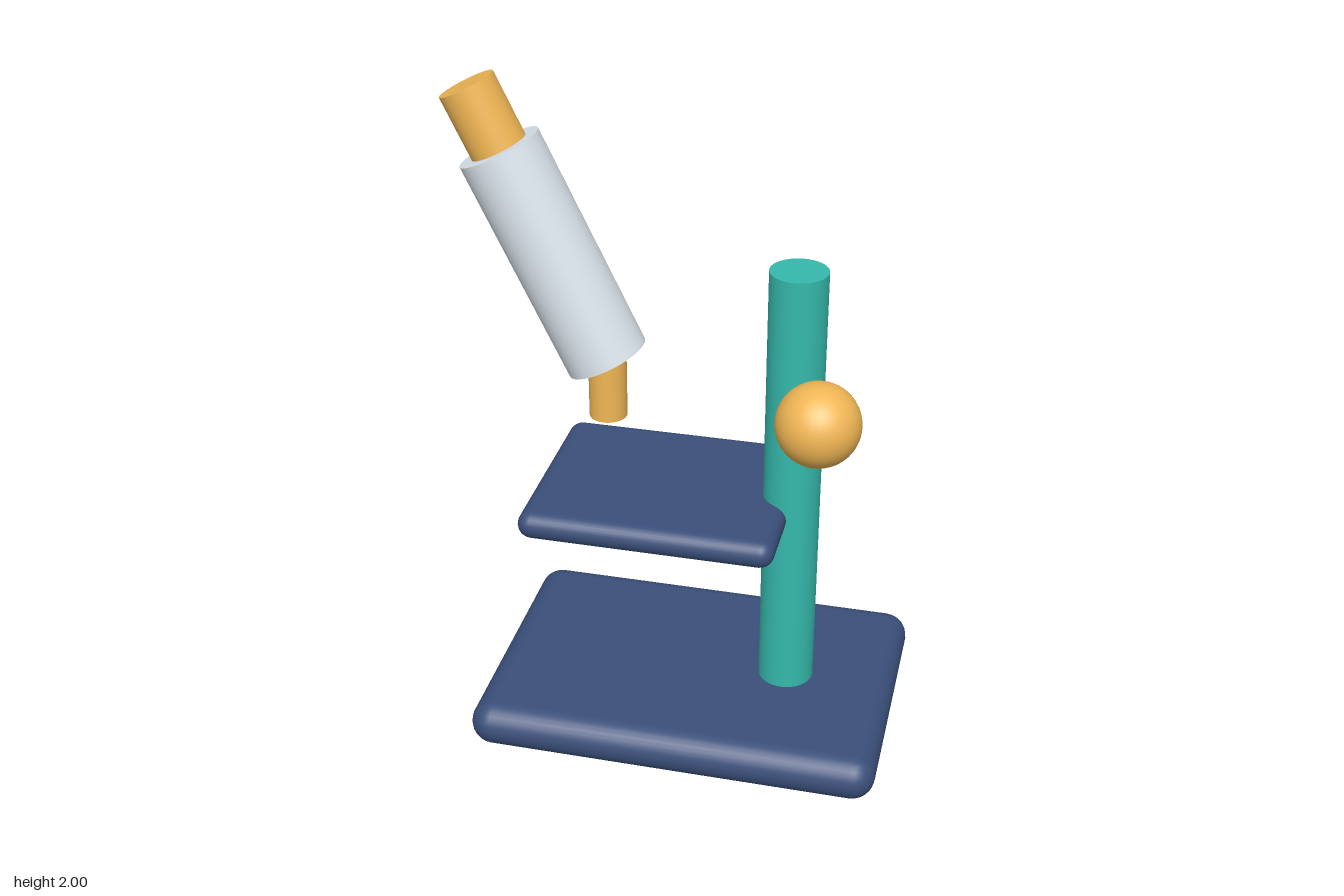
import * as THREE from 'three';
import { RoundedBoxGeometry } from 'three/addons/geometries/RoundedBoxGeometry.js';

const material = (color) => new THREE.MeshStandardMaterial({ color });

export function createModel() {
  const model = new THREE.Group();
  const navy = material(0x3a4f7a);
  const teal = material(0x35b8ab);
  const amber = material(0xf0b655);
  const silver = material(0xdbe4ec);

  const add = (name, geometry, mat, x, y, z = 0, parent = model) => {
    const mesh = new THREE.Mesh(geometry, mat);
    mesh.name = name;
    mesh.position.set(x, y, z);
    parent.add(mesh);
    return mesh;
  };
  const cylinder = (radius, height) => new THREE.CylinderGeometry(radius, radius, height, 48);

  // Foot and specimen stage: slabs with fully rounded edges
  add('base', new RoundedBoxGeometry(1.24, 0.14, 0.854, 3, 0.07), navy, 0.055, 0.07);
  add('stage', new RoundedBoxGeometry(0.76, 0.085, 0.615, 3, 0.0425), navy, -0.04, 0.742);

  // Upright post, sunk into the base, with the focus knob on its front left
  add('post', cylinder(0.084, 1.435), teal, 0.34, 0.7875);
  add('focusKnob', new THREE.SphereGeometry(0.122, 40, 24), amber, 0.435, 1.125, 0.17);

  // Leaning optical tube, with the eyepiece on the same axis
  const optics = new THREE.Group();
  optics.name = 'optics';
  optics.position.set(-0.365, 1.482, 0);
  optics.rotation.z = 0.452;
  model.add(optics);
  add('tube', cylinder(0.122, 0.686), silver, 0, 0, 0, optics);
  add('eyepiece', cylinder(0.083, 0.23), amber, 0, 0.423, 0, optics);

  // Vertical objective under the tube
  add('objective', cylinder(0.056, 0.187), amber, -0.215, 1.079);

  return model;
}
